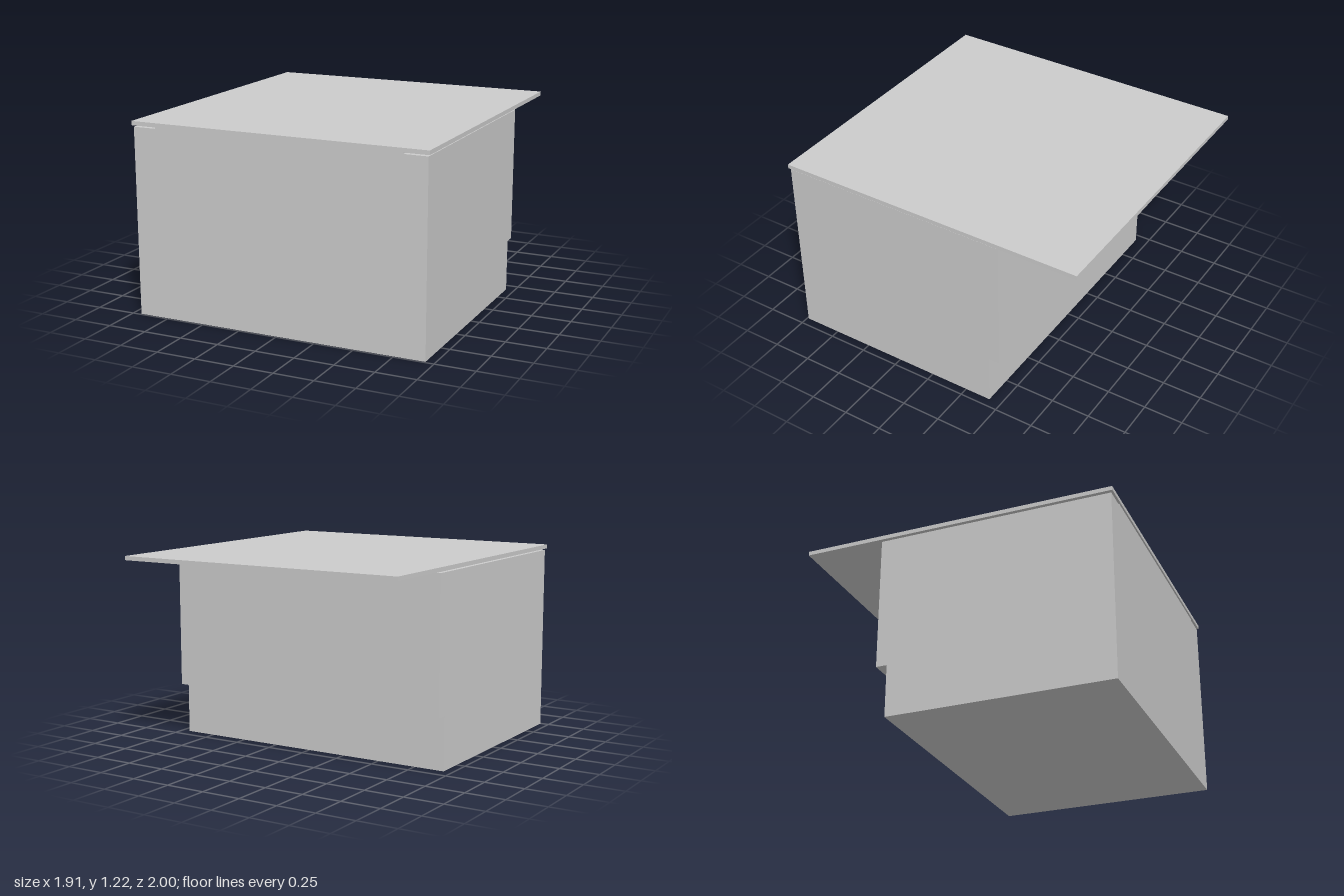
import * as THREE from 'three';

const grey = new THREE.MeshStandardMaterial({ color: 0xcccccc });

// Box given by its min and max corners
function box(name, [x0, y0, z0], [x1, y1, z1]) {
  const mesh = new THREE.Mesh(new THREE.BoxGeometry(x1 - x0, y1 - y0, z1 - z0), grey);
  mesh.position.set((x0 + x1) / 2, (y0 + y1) / 2, (z0 + z1) / 2);
  mesh.name = name;
  return mesh;
}

export function createModel() {
  const model = new THREE.Group();
  model.name = 'counter';

  // Cabinet body: side profile (z, y) with a recessed toe kick at the back
  const profile = [[0.99, 0], [0.99, 1.18], [-0.49, 1.18], [-0.49, 0.33], [-0.42, 0.33], [-0.42, 0]];
  const shape = new THREE.Shape(profile.map(([z, y]) => new THREE.Vector2(-z, y)));
  const geometry = new THREE.ExtrudeGeometry(shape, { depth: 1.89, bevelEnabled: false });
  geometry.translate(0, 0, -0.945).rotateY(Math.PI / 2);
  const body = new THREE.Mesh(geometry, grey);
  body.name = 'cabinetBody';
  model.add(body);

  // Thin strip along the front that carries the top
  model.add(box('frontSpacer', [-0.795, 1.18, 0.87], [0.795, 1.19, 0.99]));

  // Overhanging worktop
  model.add(box('worktop', [-0.955, 1.19, -1], [0.955, 1.216, 1]));

  return model;
}
